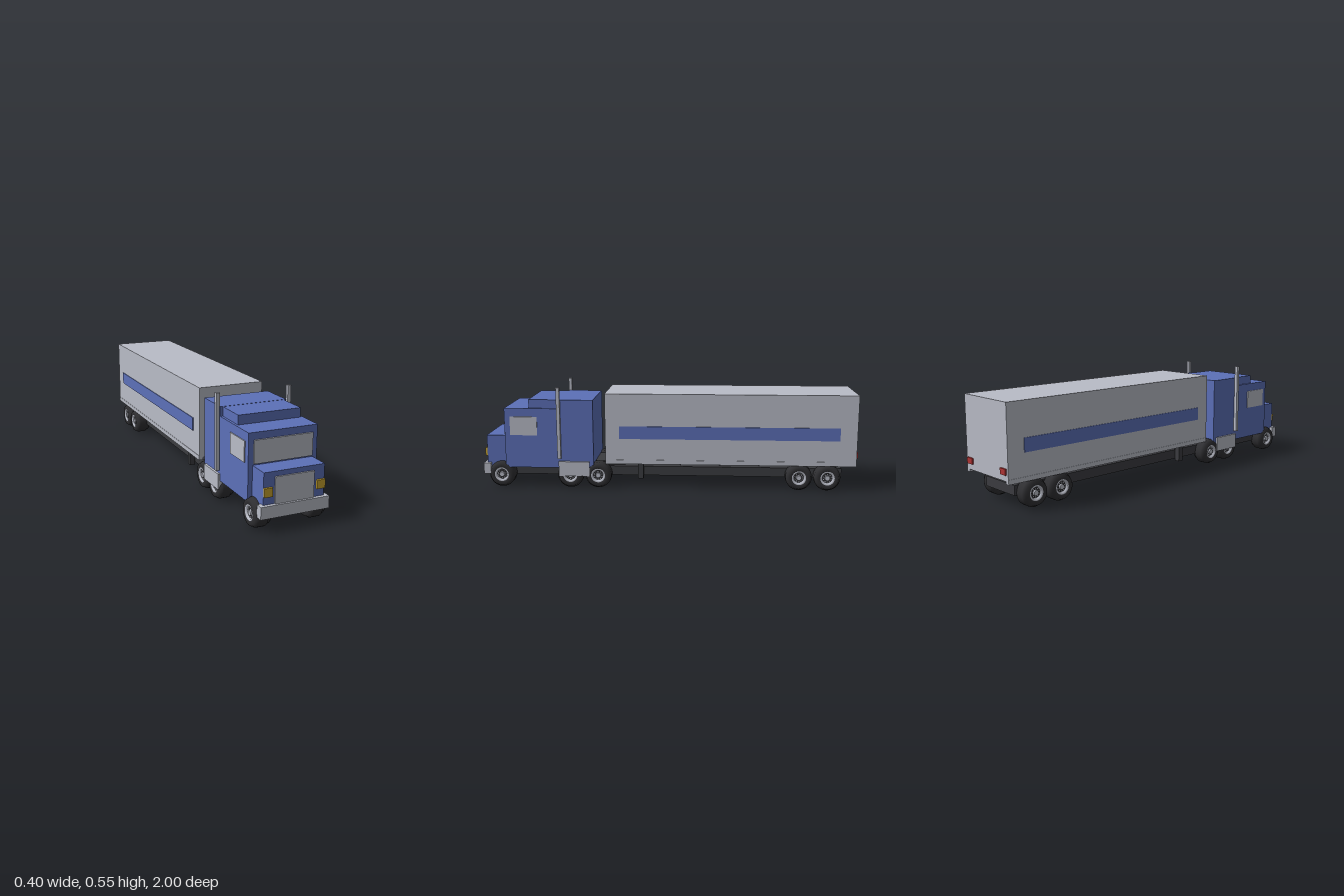
import * as THREE from 'three';

const mat = (name, color) => new THREE.MeshStandardMaterial({ name, color });

export function createModel() {
  const silver = mat('silver', 0xb9bcc7);
  const blue = mat('blue', 0x5c70b8);
  const amber = mat('amber', 0xcaa52e);
  const red = mat('red', 0xb03434);
  const rubber = mat('rubber', 0x2f2f32);
  const frame = mat('frame', 0x3b3c40);

  const truck = new THREE.Group();
  truck.name = 'truck';

  // Box given by its extents along each axis
  function box(name, material, [x0, x1], [y0, y1], [z0, z1], parent = truck) {
    const mesh = new THREE.Mesh(new THREE.BoxGeometry(x1 - x0, y1 - y0, z1 - z0), material);
    mesh.position.set((x0 + x1) / 2, (y0 + y1) / 2, (z0 + z1) / 2);
    mesh.name = name;
    parent.add(mesh);
    return mesh;
  }
  // Matching boxes on the left (+x) and right (-x)
  function pair(name, material, [x0, x1], y, z) {
    box(name + 'Left', material, [x0, x1], y, z);
    box(name + 'Right', material, [-x1, -x0], y, z);
  }

  // Chassis, coupling and landing legs
  box('chassis', frame, [-0.12, 0.12], [0.06, 0.11], [-0.925, 0.965]);
  box('coupling', frame, [-0.09, 0.09], [0.11, 0.132], [0.24, 0.4]);
  box('trailerFloorBeam', frame, [-0.08, 0.08], [0.11, 0.15], [-0.9, 0.24]);
  pair('landingLeg', frame, [0.125, 0.155], [0.05, 0.15], [0.134, 0.163]);

  // Tractor body
  box('hood', blue, [-0.153, 0.153], [0.11, 0.28], [0.87, 0.98]);
  box('cab', blue, [-0.175, 0.175], [0.11, 0.431], [0.58, 0.875]);
  box('sleeper', blue, [-0.175, 0.175], [0.11, 0.478], [0.4, 0.585]);
  box('roofFairing', blue, [-0.162, 0.162], [0.43, 0.477], [0.58, 0.745]);

  // Tractor trim
  box('bumper', silver, [-0.173, 0.173], [0.071, 0.13], [0.96, 0.998]);
  box('grille', silver, [-0.098, 0.098], [0.129, 0.256], [0.979, 0.987]);
  box('windshield', silver, [-0.149, 0.149], [0.287, 0.397], [0.874, 0.883]);
  pair('sideWindow', silver, [0.174, 0.18], [0.287, 0.387], [0.7, 0.845]);
  pair('headlight', amber, [0.112, 0.153], [0.168, 0.21], [0.978, 0.991]);
  pair('exhaustStack', silver, [0.181, 0.199], [0.165, 0.547], [0.572, 0.59]);
  pair('fuelTank', silver, [0.155, 0.187], [0.067, 0.146], [0.422, 0.587]);

  // Trailer
  box('trailerBody', silver, [-0.175, 0.175], [0.148, 0.513], [-0.992, 0.336]);
  pair('trailerRail', silver, [0.155, 0.177], [0.135, 0.158], [-0.992, 0.336]);
  pair('trailerStripe', blue, [0.174, 0.179], [0.272, 0.34], [-0.902, 0.26]);
  pair('tailLight', red, [0.12, 0.163], [0.178, 0.208], [-1.0, -0.991]);

  // Wheels, turned around the y axis and then laid along x (outside toward +x)
  const tyreProfile = [
    [0.036, 0], [0.06, 0], [0.066, 0.016], [0.07, 0.019], [0.07, 0.061],
    [0.066, 0.064], [0.06, 0.08], [0.036, 0.08], [0.034, 0.07], [0, 0.07],
  ].map(([r, h]) => new THREE.Vector2(r, h));
  tyreProfile.unshift(new THREE.Vector2(0, 0.01));
  const tyreGeometry = new THREE.LatheGeometry(tyreProfile, 28);
  const rimProfile = [[0.026, 0.07], [0.029, 0.079], [0.037, 0.081], [0.039, 0.079]]
    .map(([r, h]) => new THREE.Vector2(r, h)).reverse();
  const rimGeometry = new THREE.LatheGeometry(rimProfile.reverse(), 28);
  const hubGeometry = new THREE.CylinderGeometry(0.013, 0.015, 0.01, 16);
  const boltGeometry = new THREE.CylinderGeometry(0.003, 0.003, 0.006, 6);
  rimGeometry.computeVertexNormals();
  const rimMaterial = silver.clone();
  rimMaterial.side = THREE.DoubleSide;

  function wheel(side, z) {
    const group = new THREE.Group();
    group.name = side > 0 ? 'wheelLeft' : 'wheelRight';
    const add = (name, geometry, material, x = 0, y = 0, depth = 0) => {
      const mesh = new THREE.Mesh(geometry, material);
      mesh.name = name;
      mesh.position.set(x, y, depth);
      group.add(mesh);
    };
    add('tyre', tyreGeometry, rubber);
    add('rim', rimGeometry, rimMaterial);
    add('hub', hubGeometry, silver, 0, 0.074, 0);
    for (let i = 0; i < 10; i++) {
      const a = (i / 10) * Math.PI * 2;
      add('bolt', boltGeometry, silver, Math.cos(a) * 0.021, 0.072, Math.sin(a) * 0.021);
    }
    group.rotation.z = -side * Math.PI / 2;
    group.position.set(side * 0.1, 0.07, z);
    truck.add(group);
  }
  for (const z of [0.9, 0.527, 0.377, -0.694, -0.844]) {
    wheel(1, z);
    wheel(-1, z);
  }

  return truck;
}
